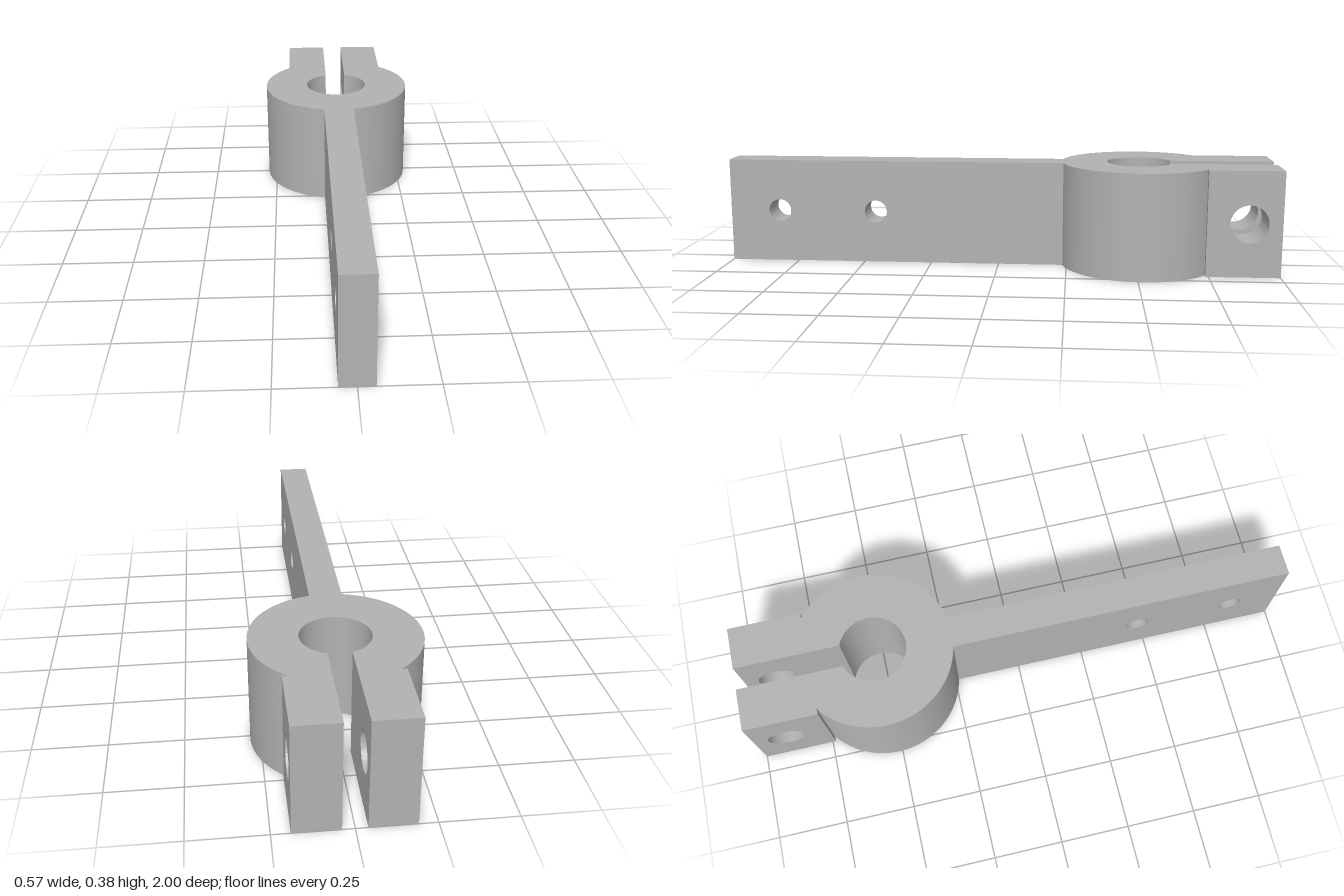
import * as THREE from 'three';
import { toCreasedNormals } from 'three/addons/utils/BufferGeometryUtils.js';

const HEIGHT = 0.378, MID = 0.19;
const RING_S = 0.513, OUTER = 0.283, INNER = 0.118; // s runs backwards: s = -z
const SLOT = 0.039, LUG_X = 0.19, LUG_S = 0.739, LUG_CUT = 0.8;
const ARM_X = 0.056, ARM_CUT = 0.2;

function extrude(shape, depth) {
  const g = new THREE.ExtrudeGeometry(shape, { depth, bevelEnabled: false, curveSegments: 48 });
  return toCreasedNormals(g, 0.5);
}

// Upright slab spanning s0..s1 and x0..x1, drilled sideways; holes are [s, radius]
function drilledSlab(name, x0, x1, s0, s1, holes, material) {
  const shape = new THREE.Shape();
  shape.moveTo(s0, 0).lineTo(s1, 0).lineTo(s1, HEIGHT).lineTo(s0, HEIGHT).closePath();
  for (const [s, r] of holes) {
    shape.holes.push(new THREE.Path().absarc(s, MID, r, 0, Math.PI * 2, true));
  }
  const mesh = new THREE.Mesh(extrude(shape, x1 - x0).rotateY(Math.PI / 2).translate(x0, 0, 0), material);
  mesh.name = name;
  return mesh;
}

export function createModel() {
  const group = new THREE.Group();
  group.name = 'clampArm';
  const grey = new THREE.MeshStandardMaterial({ color: 0xb2b2b2 });
  grey.name = 'grey metal';

  // Split ring, with the roots of the arm and of both lugs in its outline
  const armAngle = Math.acos(ARM_X / OUTER);
  const lugAngle = Math.asin((LUG_S - RING_S) / OUTER);
  const slotAngle = Math.acos(SLOT / INNER);
  const plan = new THREE.Shape();
  plan.moveTo(-ARM_X, ARM_CUT).lineTo(ARM_X, ARM_CUT);
  plan.absarc(0, RING_S, OUTER, -armAngle, lugAngle, false);
  plan.lineTo(LUG_X, LUG_S).lineTo(LUG_X, LUG_CUT).lineTo(SLOT, LUG_CUT);
  plan.absarc(0, RING_S, INNER, slotAngle, Math.PI - slotAngle, true);
  plan.lineTo(-SLOT, LUG_CUT).lineTo(-LUG_X, LUG_CUT).lineTo(-LUG_X, LUG_S);
  plan.absarc(0, RING_S, OUTER, Math.PI - lugAngle, Math.PI + armAngle, false);
  plan.closePath();
  const ring = new THREE.Mesh(extrude(plan, HEIGHT).rotateX(-Math.PI / 2), grey);
  ring.name = 'splitRing';
  group.add(ring);

  // Clamping lugs with the bolt hole
  const bolt = [[0.885, 0.067]];
  group.add(drilledSlab('leftLug', SLOT, LUG_X, LUG_CUT, 1, bolt, grey));
  group.add(drilledSlab('rightLug', -LUG_X, -SLOT, LUG_CUT, 1, bolt, grey));

  // Long flat arm with two mounting holes
  group.add(drilledSlab('arm', -ARM_X, ARM_X, -1, ARM_CUT, [[-0.815, 0.041], [-0.455, 0.041]], grey));
  return group;
}
